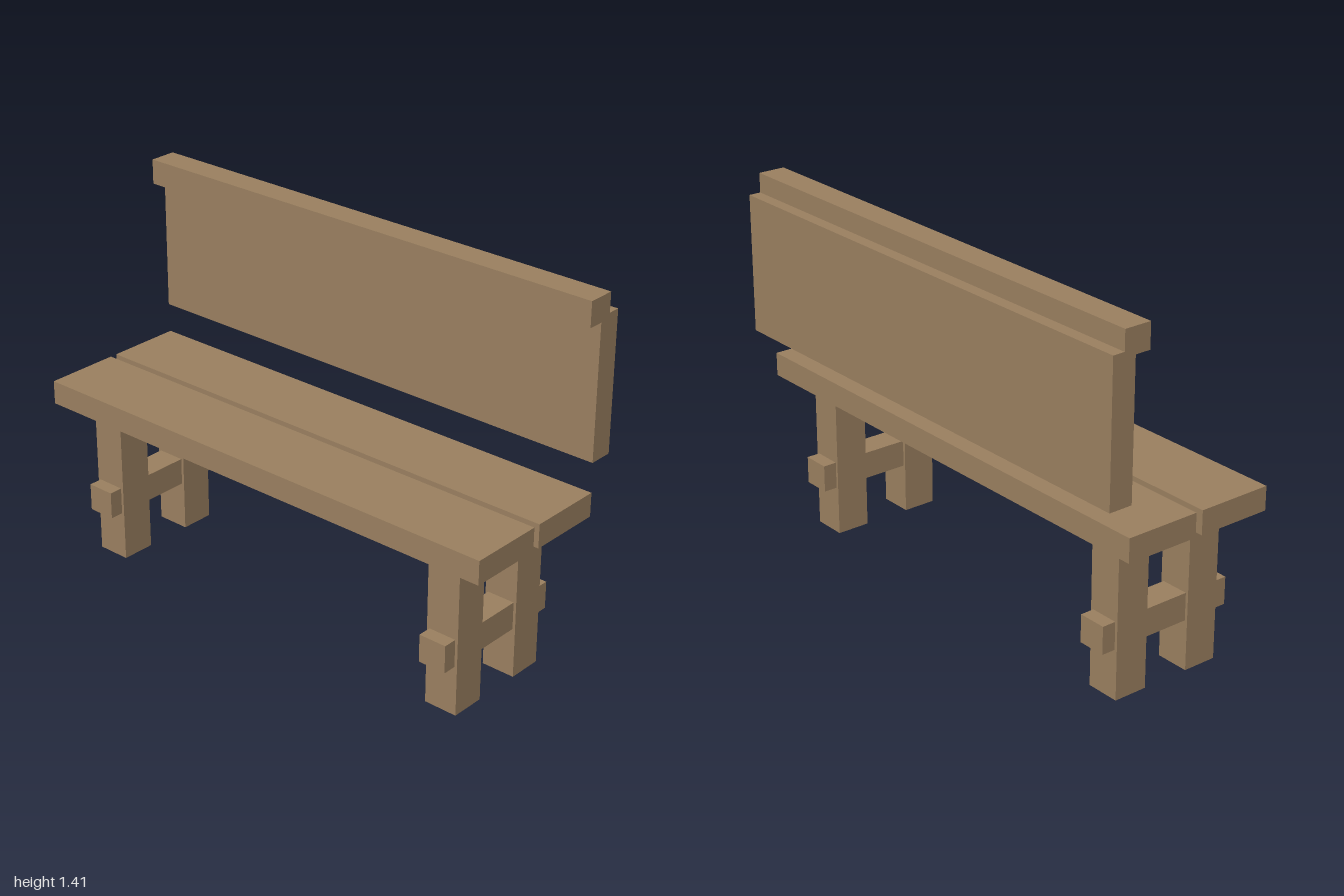
import * as THREE from 'three';

export function createModel() {
  const bench = new THREE.Group();
  bench.name = 'bench';
  const wood = new THREE.MeshStandardMaterial({ color: 0x9b8060 });
  wood.name = 'brown wood';

  // Beam given by its [min, max] extent on each axis
  function beam(name, [x0, x1], [y0, y1], [z0, z1]) {
    const mesh = new THREE.Mesh(new THREE.BoxGeometry(x1 - x0, y1 - y0, z1 - z0), wood);
    mesh.position.set((x0 + x1) / 2, (y0 + y1) / 2, (z0 + z1) / 2);
    mesh.name = name;
    bench.add(mesh);
  }

  const fullWidth = [-1, 1];

  // Seat planks with a gap between them
  beam('frontSeatPlank', fullWidth, [0.597, 0.688], [0.058, 0.35]);
  beam('rearSeatPlank', fullWidth, [0.597, 0.688], [-0.262, 0.03]);

  // Floating backrest with an overlapping top rail
  beam('backrest', fullWidth, [0.803, 1.335], [-0.35, -0.257]);
  beam('topRail', fullWidth, [1.315, 1.41], [-0.303, -0.197]);

  // Two leg pairs, each pierced by a stretcher
  for (const [side, x] of [['left', 0.799], ['right', -0.799]]) {
    const legX = [x - 0.066, x + 0.066];
    beam(side + 'FrontLeg', legX, [0, 0.597], [0.139, 0.272]);
    beam(side + 'RearLeg', legX, [0, 0.597], [-0.181, -0.048]);
    beam(side + 'Stretcher', [x - 0.055, x + 0.055], [0.19, 0.296], [-0.235, 0.325]);
  }
  return bench;
}
